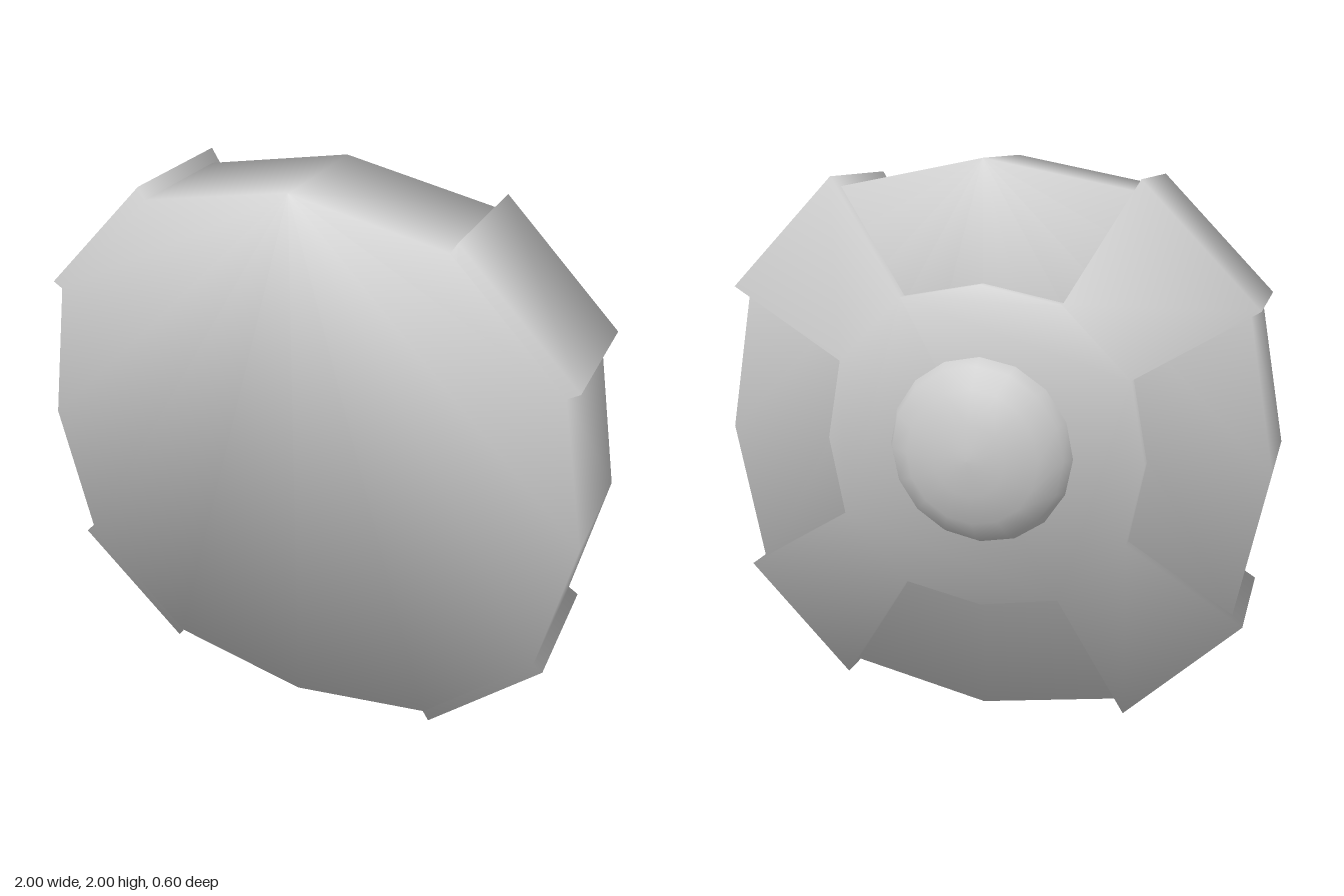
import * as THREE from 'three';

const FRONT = 0.3, RIM_BACK = -0.12, HUB_BACK = -0.16;
const material = new THREE.MeshStandardMaterial({ color: 0xcccccc });

// Repeats the points of one quarter around the centre, anticlockwise
function fourTimes(quarter) {
  const points = [];
  for (let k = 0, pts = quarter; k < 4; k++) {
    points.push(...pts);
    pts = pts.map(([x, y]) => [-y, x]);
  }
  return points;
}

// Smooth edges: every normal leans outward and to its own end
function softenNormals(geometry, middle) {
  const p = geometry.attributes.position, normals = [];
  const n = new THREE.Vector3();
  for (let i = 0; i < p.count; i++) {
    n.set(p.getX(i), p.getY(i), p.getZ(i) > middle ? 1 : -1).normalize();
    normals.push(n.x, n.y, n.z);
  }
  geometry.setAttribute('normal', new THREE.Float32BufferAttribute(normals, 3));
  return geometry;
}

// Twelve-sided solid body: flat front, outer wall and flat back
function bodyGeometry() {
  const outline = fourTimes([[0, 1], [-0.52, 0.9], [-0.9, 0.52]]);
  const n = outline.length, pos = [], idx = [];
  for (const z of [FRONT, RIM_BACK]) for (const [x, y] of outline) pos.push(x, y, z);
  for (let i = 0; i < n; i++) {
    const j = (i + 1) % n;
    idx.push(i, n + i, j, j, n + i, n + j);
  }
  for (let i = 1; i < n - 1; i++) idx.push(0, i, i + 1, n, n + i + 1, n + i);
  const g = new THREE.BufferGeometry();
  g.setAttribute('position', new THREE.Float32BufferAttribute(pos, 3));
  g.setIndex(idx);
  return softenNormals(g, 0);
}

// Raised cross of hub and four widening spokes that wrap over the rim
function crossGeometry() {
  const outline = fourTimes([[0, 0.585], [-0.29, 0.53], [-0.54, 0.94], [-0.935, 0.54], [-0.53, 0.29]]);
  const shape = new THREE.Shape(outline.map(([x, y]) => new THREE.Vector2(x, y)));
  const g = new THREE.ExtrudeGeometry(shape, { depth: FRONT - 0.002 - HUB_BACK, bevelEnabled: false });
  g.translate(0, 0, HUB_BACK);
  return softenNormals(g, 0);
}

export function createModel() {
  const model = new THREE.Group();
  model.name = 'wheel';
  const add = (name, geometry) => {
    const mesh = new THREE.Mesh(geometry, material);
    mesh.name = name;
    mesh.position.y = 1;
    model.add(mesh);
    return mesh;
  };

  add('wheelBody', bodyGeometry());
  add('hubAndSpokes', crossGeometry());

  // Low dome at the centre of the back
  const profile = [[0.34, 0.155], [0.315, 0.205], [0.24, 0.255], [0.13, 0.287], [0.04, 0.299], [0, 0.3]]
    .map(([r, h]) => new THREE.Vector2(r, h));
  add('hubDome', new THREE.LatheGeometry(profile, 16)).rotation.x = -Math.PI / 2;

  return model;
}
